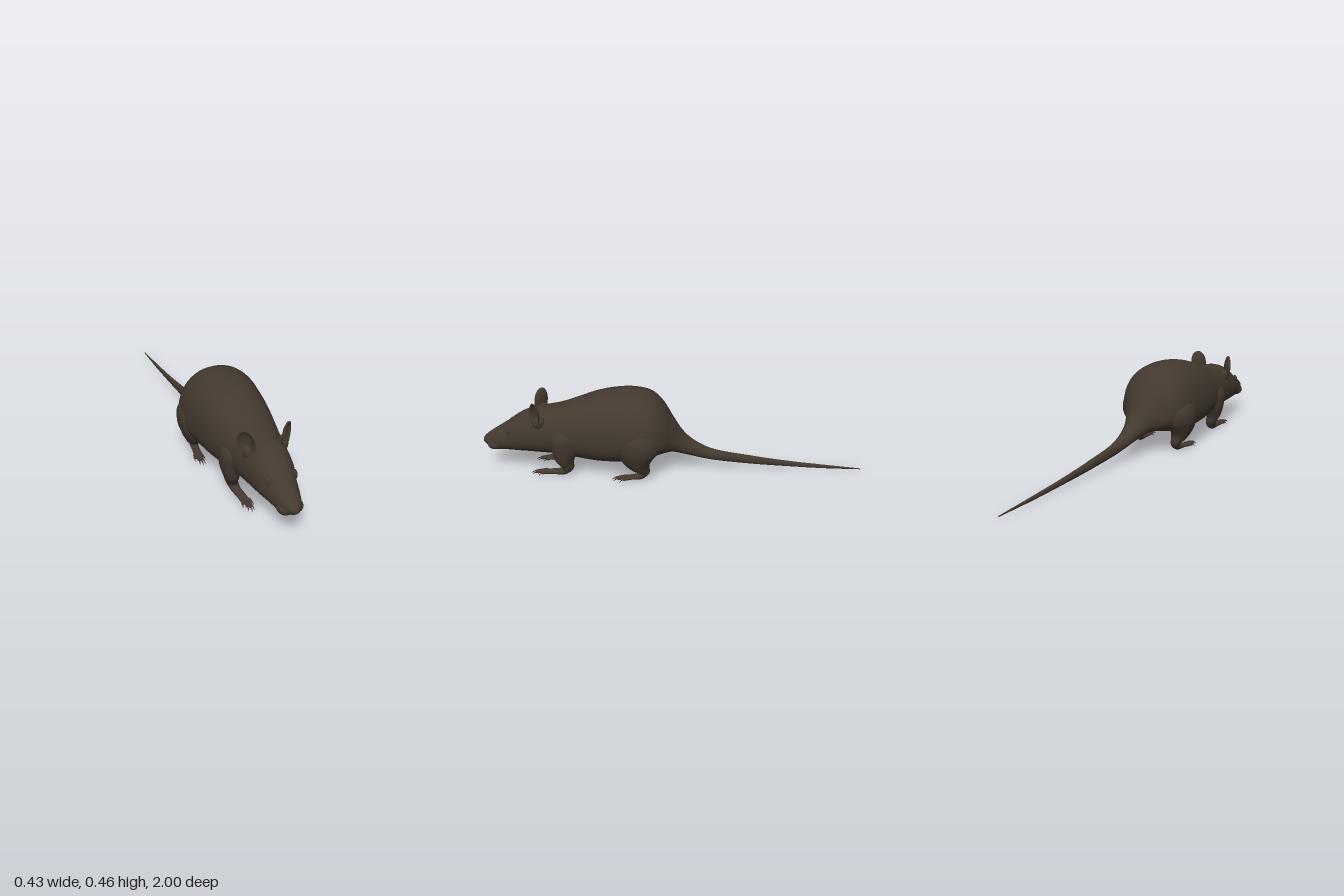
import * as THREE from 'three';

const fur = new THREE.MeshStandardMaterial({ color: 0x43392f });
fur.name = 'darkBrownFur';

// Smooth closed skin through cross-sections (arrays of Vector3 running round +x to +y)
function loft(name, rings, steps) {
  const n = rings[0].length, pos = [], idx = [];
  const middle = r => r.reduce((s, p) => s.add(p), new THREE.Vector3()).divideScalar(n);
  const columns = rings[0].map((_, a) => new THREE.CatmullRomCurve3(rings.map(r => r[a])));
  for (let j = 0; j <= steps; j++)
    for (const c of columns) pos.push(...c.getPoint(j / steps).toArray());
  for (let j = 0; j < steps; j++)
    for (let a = 0; a < n; a++) {
      const b = (a + 1) % n, p = j * n, q = p + n;
      idx.push(p + a, q + a, p + b, p + b, q + a, q + b);
    }
  // end caps
  const first = (steps + 1) * n, last = first + 1, q = steps * n;
  pos.push(...middle(rings[0]).toArray(), ...middle(rings[rings.length - 1]).toArray());
  for (let a = 0; a < n; a++) {
    const b = (a + 1) % n;
    idx.push(first, a, b, last, q + b, q + a);
  }
  const g = new THREE.BufferGeometry();
  g.setAttribute('position', new THREE.Float32BufferAttribute(pos, 3));
  g.setIndex(idx);
  g.computeVertexNormals();
  const m = new THREE.Mesh(g, fur);
  m.name = name;
  return m;
}

// Tapered limb; each section is [x, y, z, half width, half depth]
function limb(name, sections, sides = 20, steps = 32) {
  const centres = sections.map(s => new THREE.Vector3(s[0], s[1], s[2]));
  const X = new THREE.Vector3(1, 0, 0);
  const rings = sections.map((s, i) => {
    const T = centres[Math.min(i + 1, centres.length - 1)].clone().sub(centres[Math.max(i - 1, 0)]);
    const N = X.clone().cross(T).normalize();
    return Array.from({ length: sides }, (_, k) => {
      const a = (k / sides) * Math.PI * 2;
      return centres[i].clone().addScaledVector(X, Math.cos(a) * s[3]).addScaledVector(N, Math.sin(a) * s[4]);
    });
  });
  return loft(name, rings, steps);
}

function ellipsoid(name, x, y, z, rx, ry, rz) {
  const m = new THREE.Mesh(new THREE.SphereGeometry(1, 24, 16), fur);
  m.position.set(x, y, z);
  m.scale.set(rx, ry, rz);
  m.name = name;
  return m;
}

// Body from nose to tail tip: [z, top, bottom, half width, height of widest point]
const BODY = [
  [1.0, 0.173, 0.153, 0.01, 0.163], [0.99, 0.187, 0.143, 0.023, 0.163],
  [0.965, 0.207, 0.13, 0.042, 0.163], [0.92, 0.236, 0.117, 0.06, 0.165],
  [0.86, 0.274, 0.115, 0.076, 0.18], [0.8, 0.315, 0.113, 0.096, 0.2],
  [0.73, 0.346, 0.11, 0.109, 0.21], [0.66, 0.358, 0.107, 0.122, 0.215],
  [0.58, 0.372, 0.103, 0.14, 0.22], [0.5, 0.398, 0.09, 0.158, 0.22],
  [0.4, 0.434, 0.075, 0.177, 0.22], [0.3, 0.455, 0.072, 0.19, 0.22],
  [0.2, 0.457, 0.082, 0.203, 0.22], [0.11, 0.436, 0.105, 0.191, 0.22],
  [0.05, 0.382, 0.118, 0.152, 0.215], [0, 0.302, 0.115, 0.096, 0.2],
  [-0.05, 0.225, 0.1, 0.062, 0.16], [-0.1, 0.176, 0.085, 0.043, 0.13],
  [-0.2, 0.122, 0.06, 0.026, 0.091], [-0.4, 0.083, 0.036, 0.015, 0.06],
  [-0.6, 0.053, 0.022, 0.011, 0.037], [-0.8, 0.031, 0.011, 0.007, 0.021],
  [-1.0, 0.011, 0.006, 0.002, 0.008],
];

function bodyMesh() {
  const sides = 48;
  const soft = v => Math.sign(v) * Math.abs(v) ** 0.93;
  return loft('bodyAndTail', BODY.map(([z, top, bottom, half, mid]) =>
    Array.from({ length: sides }, (_, k) => {
      const a = (k / sides) * Math.PI * 2, s = soft(Math.sin(a));
      return new THREE.Vector3(half * soft(Math.cos(a)), mid + s * (s > 0 ? top - mid : mid - bottom), z);
    })), 132);
}

// Fan of toes, each ending in a curved claw
function toes(name, side, x, z, spread, length) {
  const g = new THREE.Group();
  g.name = name;
  for (let i = 0; i < 5; i++) {
    const t = i / 2 - 1, len = length * (1 - 0.35 * t * t);
    const at = (f, y, r) => [side * (x + t * spread * (0.55 + 0.6 * f)), y, z - 0.02 * t * t + len * f, r, r];
    g.add(limb('toe', [at(0, 0.014, 0.007), at(0.3, 0.018, 0.0075), at(0.6, 0.014, 0.006),
      at(0.68, 0.015, 0.0035), at(0.85, 0.012, 0.0025), at(1, 0.004, 0.0006)], 8, 14));
  }
  return g;
}

// Cupped ear on a short root
function ear(side) {
  const g = new THREE.Group();
  g.name = side > 0 ? 'leftEar' : 'rightEar';
  const profile = [[0, -0.42], [0.5, -0.36], [0.85, -0.18], [1, 0.04], [0.97, 0.12], [0.88, 0.06],
    [0.7, -0.14], [0.4, -0.26], [0, -0.3]].map(p => new THREE.Vector2(...p));
  const curve = new THREE.SplineCurve(profile).getPoints(28);
  curve[0].x = curve[28].x = 0;
  const bowl = new THREE.LatheGeometry(curve, 32).rotateX(Math.PI / 2);
  bowl.scale(0.043, 0.066, 0.04);
  const cup = new THREE.Mesh(bowl, fur);
  cup.name = 'earCup';
  cup.rotation.set(-0.1, side * 0.72, -side * 0.18, 'ZYX');
  cup.position.set(side * 0.1, 0.35, 0.7);
  g.add(cup, ellipsoid('earRoot', side * 0.088, 0.302, 0.685, 0.026, 0.036, 0.034));
  return g;
}

function eye(side) {
  const g = new THREE.Group();
  g.name = side > 0 ? 'leftEye' : 'rightEye';
  const lid = new THREE.Mesh(new THREE.TorusGeometry(0.015, 0.0035, 10, 28), fur);
  lid.name = 'eyelid';
  lid.scale.set(1, 1.1, 1);
  lid.position.z = 0.002;
  g.add(lid, ellipsoid('eyeball', 0, 0, 0, 0.0145, 0.016, 0.011));
  g.position.set(side * 0.066, 0.246, 0.852);
  g.rotation.set(-0.3, side * 0.95, 0, 'YXZ');
  return g;
}

export function createModel() {
  const model = new THREE.Group();
  model.name = 'rat';
  model.add(bodyMesh());

  // Muzzle
  model.add(ellipsoid('noseTip', 0, 0.167, 0.985, 0.016, 0.012, 0.014));
  model.add(ellipsoid('lowerJaw', 0, 0.126, 0.925, 0.034, 0.015, 0.035));

  for (const side of [1, -1]) {
    const label = side > 0 ? 'left' : 'right';
    const sided = list => list.map(([x, ...rest]) => [side * x, ...rest]);
    model.add(ear(side), eye(side));
    model.add(ellipsoid(label + 'Nostril', side * 0.011, 0.162, 0.986, 0.01, 0.008, 0.009));
    model.add(ellipsoid(label + 'Cheek', side * 0.026, 0.15, 0.935, 0.034, 0.03, 0.042));

    // Front leg from shoulder to paw
    model.add(limb(label + 'FrontLeg', sided([
      [0.085, 0.29, 0.56, 0.03, 0.04], [0.1, 0.24, 0.555, 0.056, 0.075], [0.108, 0.16, 0.555, 0.048, 0.07],
      [0.103, 0.095, 0.56, 0.036, 0.048], [0.094, 0.052, 0.55, 0.029, 0.034], [0.086, 0.024, 0.572, 0.023, 0.02],
      [0.081, 0.018, 0.63, 0.022, 0.012], [0.079, 0.014, 0.685, 0.023, 0.009]])));
    model.add(toes(label + 'FrontToes', side, 0.078, 0.675, 0.024, 0.072));

    // Hind leg from thigh to foot
    model.add(limb(label + 'HindLeg', sided([
      [0.12, 0.32, 0.17, 0.04, 0.055], [0.133, 0.25, 0.17, 0.077, 0.105], [0.137, 0.18, 0.175, 0.077, 0.11],
      [0.142, 0.12, 0.175, 0.054, 0.078], [0.136, 0.075, 0.16, 0.037, 0.046], [0.127, 0.043, 0.145, 0.025, 0.028],
      [0.125, 0.022, 0.162, 0.02, 0.018], [0.132, 0.017, 0.21, 0.021, 0.012], [0.138, 0.013, 0.255, 0.024, 0.009]])));
    model.add(toes(label + 'HindToes', side, 0.139, 0.245, 0.024, 0.07));
  }
  return model;
}
